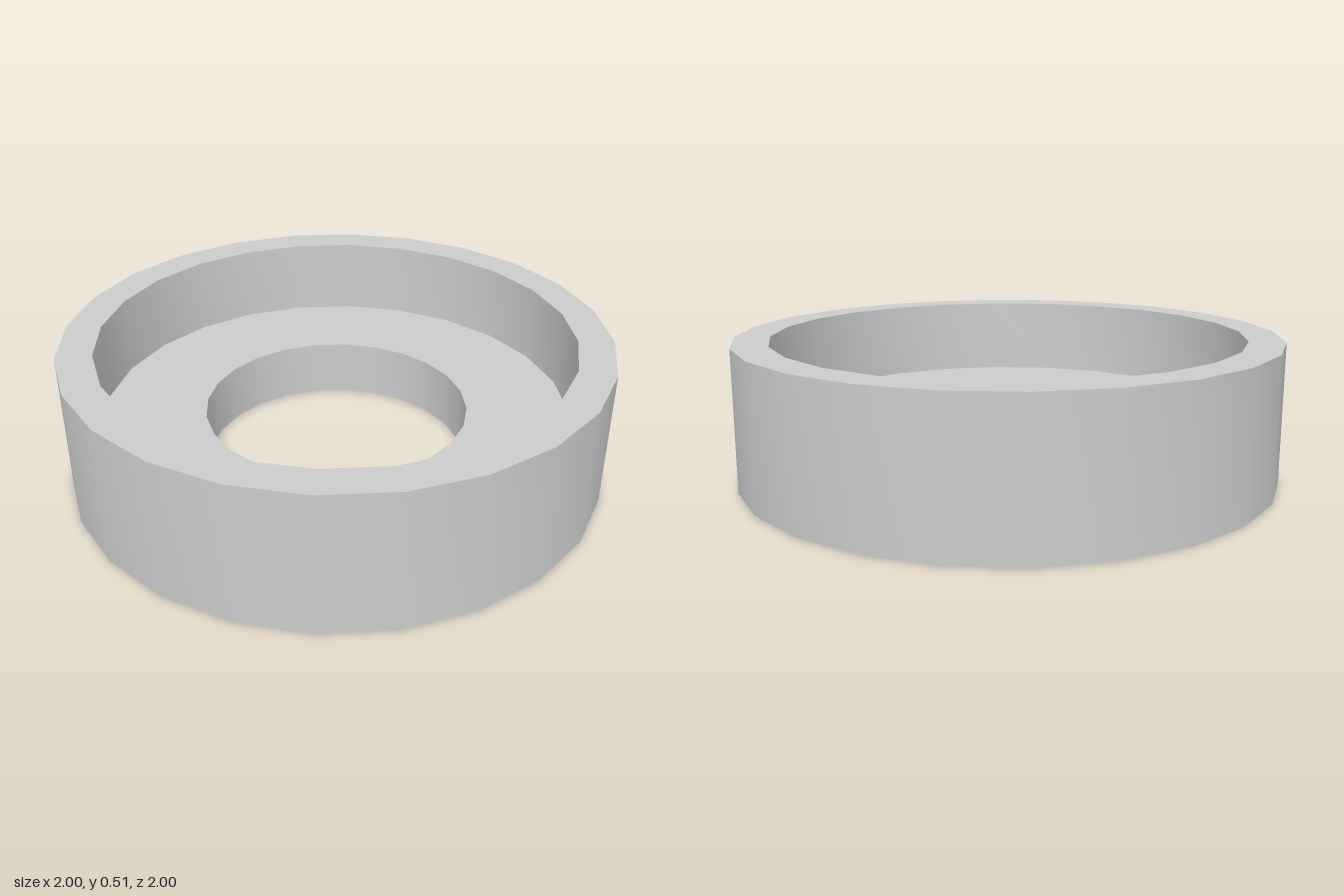
import * as THREE from 'three';
import { toCreasedNormals } from 'three/addons/utils/BufferGeometryUtils.js';

const SIDES = 24;
const OUTER_RADIUS = 1;
const RECESS_RADIUS = 0.87;
const HOLE_RADIUS = 0.49;
const HEIGHT = 0.515;
const FLOOR_HEIGHT = 0.22;

export function createModel() {
  const group = new THREE.Group();
  group.name = 'recessedRing';

  const grey = new THREE.MeshStandardMaterial({ color: 0xcccccc });
  grey.name = 'light grey';

  // Closed cross-section: base, outer wall, rim, recess wall, floor, hole wall
  const profile = [
    [HOLE_RADIUS, 0],
    [OUTER_RADIUS, 0],
    [OUTER_RADIUS, HEIGHT],
    [RECESS_RADIUS, HEIGHT],
    [RECESS_RADIUS, FLOOR_HEIGHT],
    [HOLE_RADIUS, FLOOR_HEIGHT],
    [HOLE_RADIUS, 0],
  ].map(([r, y]) => new THREE.Vector2(r, y));

  // Smooth around the walls, sharp at the rims
  const geometry = toCreasedNormals(new THREE.LatheGeometry(profile, SIDES), Math.PI / 6);
  const ring = new THREE.Mesh(geometry, grey);
  ring.name = 'ringBody';
  group.add(ring);

  return group;
}
